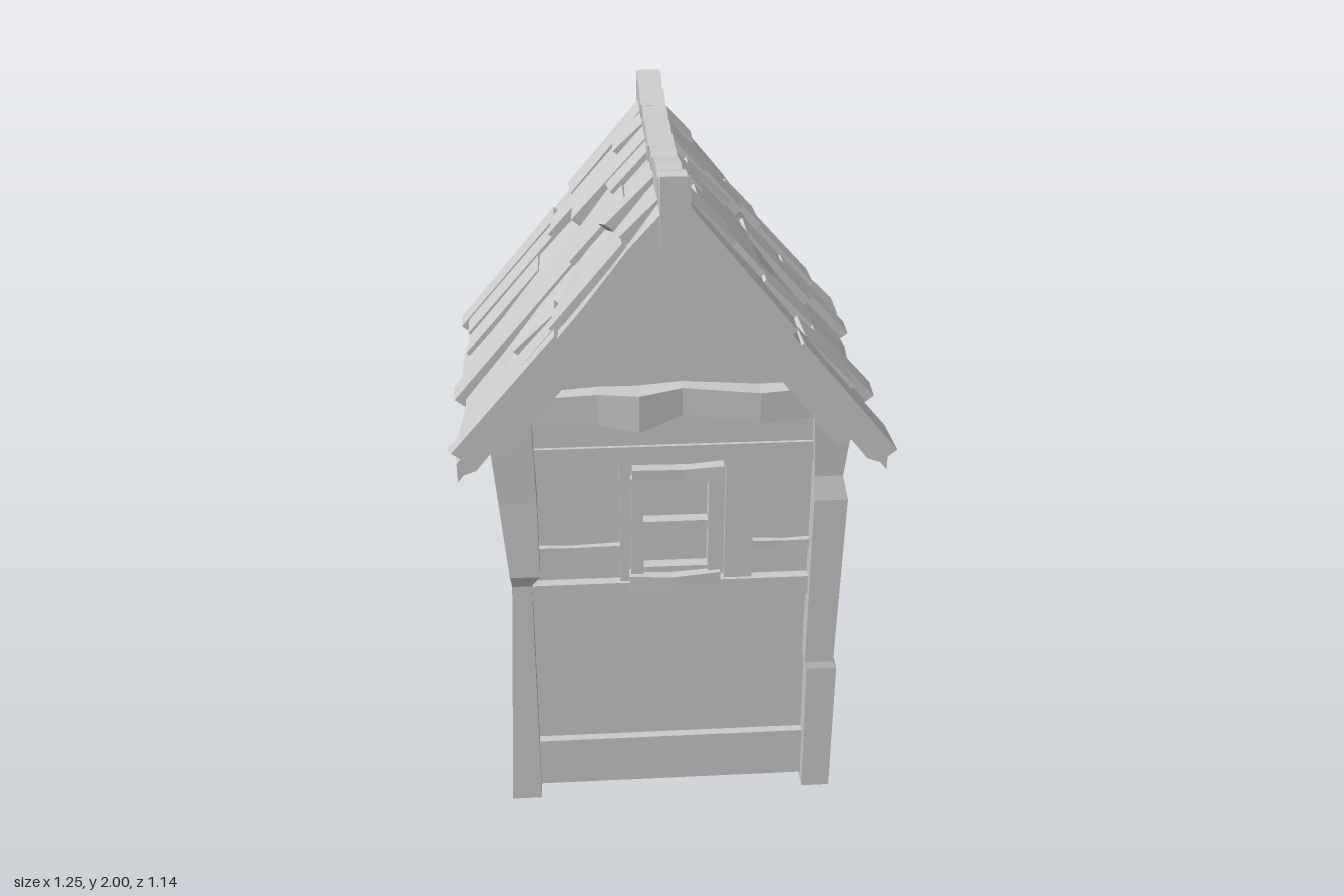
import * as THREE from 'three';

const mat = new THREE.MeshStandardMaterial({ color: 0xcccccc, flatShading: true });
const SLOPE = 1.25;

let seed = 7;
const rnd = () => { seed = (seed * 16807) % 2147483647; return seed / 2147483647 - 0.5; };

function add(parent, geo, name) {
  const m = new THREE.Mesh(geo, mat);
  m.name = name;
  parent.add(m);
  return m;
}

// Move every vertex of a geometry by a rule
function warp(geo, rule) {
  const p = geo.attributes.position, v = new THREE.Vector3();
  for (let i = 0; i < p.count; i++) {
    v.fromBufferAttribute(p, i);
    rule(v);
    p.setXYZ(i, v.x, v.y, v.z);
  }
  geo.computeVertexNormals();
  return geo;
}

// Box between limits; "bevel" lifts the lower outer edge
function slab(x0, x1, y0, y1, z0, z1, bevel = 0) {
  return warp(new THREE.BoxGeometry(1, 1, 1), v => {
    const low = v.y < 0 && v.z > 0;
    v.set(v.x < 0 ? x0 : x1, v.y < 0 ? y0 + (low ? bevel : 0) : y1, v.z < 0 ? z0 : z1);
  });
}

// Uneven timber along an axis; rows are [position, a0, a1, b0, b1]
function timber(axis, rows) {
  const n = rows.length - 1;
  const seg = ['x', 'y', 'z'].map(k => (k === axis ? n : 1));
  const [a, b] = ['x', 'y', 'z'].filter(k => k !== axis);
  return warp(new THREE.BoxGeometry(1, 1, 1, ...seg), v => {
    const r = rows[Math.round((v[axis] + 0.5) * n)];
    v[axis] = r[0];
    v[a] = v[a] < 0 ? r[1] : r[2];
    v[b] = v[b] < 0 ? r[3] : r[4];
  });
}

function makeWindow() {
  const g = new THREE.Group();
  g.name = 'window';
  add(g, slab(-0.115, -0.08, 0.79, 1.11, 0.42, 0.475), 'windowJamb');
  add(g, slab(0.105, 0.14, 0.79, 1.11, 0.42, 0.475), 'windowJamb');
  add(g, slab(-0.085, 0.11, 0.935, 0.965, 0.42, 0.465), 'windowBar');
  add(g, slab(-0.085, 0.11, 0.79, 0.815, 0.42, 0.465), 'windowBar');
  add(g, slab(-0.085, 0.11, 1.085, 1.11, 0.42, 0.465), 'windowBar');
  add(g, timber('x', [[-0.12, 0.755, 0.8, 0.42, 0.49], [0, 0.76, 0.795, 0.42, 0.495],
    [0.14, 0.752, 0.805, 0.42, 0.49]]), 'windowSill');
  add(g, timber('x', [[-0.11, 1.1, 1.145, 0.42, 0.49], [0.03, 1.105, 1.14, 0.42, 0.485],
    [0.145, 1.1, 1.15, 0.42, 0.49]]), 'windowLintel');
  return g;
}

// Boards and rails of one wall, facing +z
function makeWall(angle, gable, glazed) {
  const g = new THREE.Group();
  g.name = gable ? 'gableWall' : 'sideWall';
  g.rotation.y = angle;
  const w = 0.42;
  add(g, slab(-w, w, 0.005, 0.19, 0.4, 0.455, 0.02), 'skirting');
  add(g, slab(-w, w, 0.685, 0.76, 0.4, 0.46, 0.015), 'middleRail');
  add(g, slab(-w, w, 1.13, 1.2, 0.4, 0.455, 0.012), 'topRail');
  if (gable) {
    add(g, slab(-w, w, 1.19, 1.3, 0.4, 0.445), 'headBoard');
    add(g, timber('x', [[-0.4, 1.29, 1.36, 0.4, 0.47], [-0.2, 1.285, 1.375, 0.4, 0.48],
      [-0.09, 1.265, 1.375, 0.4, 0.5], [0.03, 1.305, 1.385, 0.4, 0.475],
      [0.24, 1.28, 1.37, 0.4, 0.49], [0.4, 1.285, 1.375, 0.4, 0.475]]), 'crookedBeam');
    add(g, slab(-0.145, -0.1, 0.75, 1.14, 0.4, 0.45), 'stud');
    add(g, slab(0.155, 0.235, 0.75, 1.14, 0.4, 0.45), 'stud');
    for (const [a, b] of [[-w, -0.14], [0.23, w]])
      add(g, timber('x', [[a, 0.855, 0.88, 0.4, 0.45], [(a + b) / 2, 0.86, 0.875, 0.4, 0.445],
        [b, 0.85, 0.88, 0.4, 0.45]]), 'thinRail');
  } else {
    for (const s of [-1, 1]) add(g, slab(s * 0.135 - 0.02, s * 0.135 + 0.02, 0.75, 1.14, 0.4, 0.452), 'stud');
  }
  if (glazed) g.add(makeWindow());
  return g;
}

// Roof surface height, sagging mid-length
const sag = z => 0.03 * (1 - Math.min(1, (z / 0.55) ** 2));
const roofY = (x, z) => 1.945 - SLOPE * x - sag(z) * (1 - x);

// One roof slope on the +x side with its loose shingles [z0, z1, xTop, xBottom]
function makeSlope(tiles, angle) {
  const g = new THREE.Group();
  g.name = 'roofSlope';
  g.rotation.y = angle;
  const nu = 5, nz = 9;
  const bump = Array.from({ length: (nu + 1) * (nz + 1) }, rnd);
  add(g, warp(new THREE.BoxGeometry(1, 1, 1, nu, 1, nz), v => {
    const i = Math.round((v.x + 0.5) * nu), k = Math.round((v.z + 0.5) * nz);
    const b = bump[i * (nz + 1) + k], top = v.y > 0;
    const x = (i / nu) * (0.585 + (i === nu ? b * 0.03 : 0));
    const z = v.z * 1.1;
    v.set(x, roofY(x, z) + (top ? b * 0.025 : -0.06), z);
  }), 'roofSheet');
  for (const [z0, z1, xa, xb] of tiles) {
    const lift = 0.026 + rnd() * 0.012, skew = rnd() * 0.02, taper = rnd() * 0.02;
    add(g, warp(new THREE.BoxGeometry(1, 1, 1), v => {
      const lower = v.x > 0, far = v.z > 0;
      const x = lower ? xb + (far ? skew : -skew) : xa;
      const z = (far ? z1 : z0) + (lower ? taper : 0) * (far ? -1 : 1);
      const h = v.y > 0 ? (lower ? lift : 0.012) : -0.025;
      v.set(x + h * 0.78, roofY(x, z) + h * 0.62, THREE.MathUtils.clamp(z, -0.55, 0.55));
    }), 'shingle');
  }
  return g;
}

// Sloping board under the roof edge, as a strip between two roof-parallel lines
function bargeBoard(side, top, bottom, xEnd, depth) {
  const s = new THREE.Shape([
    [0, bottom], [xEnd - 0.05, bottom - SLOPE * (xEnd - 0.05)],
    [xEnd, top - SLOPE * xEnd], [0, top]
  ].map(([x, y]) => new THREE.Vector2(side * x, y)));
  return new THREE.ExtrudeGeometry(s, { depth, bevelEnabled: false });
}

export function createModel() {
  const model = new THREE.Group();
  model.name = 'crookedHut';

  // Core with gable ends
  const core = new THREE.Shape([[-0.43, 0.015], [0.43, 0.015], [0.43, 1.28], [0, 1.82], [-0.43, 1.28]]
    .map(p => new THREE.Vector2(...p)));
  add(model, new THREE.ExtrudeGeometry(core, { depth: 0.86, bevelEnabled: false }).translate(0, 0, -0.43), 'wallCore');

  model.add(makeWall(0, true, true), makeWall(Math.PI, true, true),
    makeWall(Math.PI / 2, false, false), makeWall(-Math.PI / 2, false, true));

  // Crooked corner posts
  const posts = {
    frontLeftPost: [[0, 0.41, 0.495, 0.4, 0.49], [0.45, 0.405, 0.495, 0.4, 0.49], [0.47, 0.4, 0.485, 0.4, 0.485],
      [1.03, 0.4, 0.495, 0.39, 0.49], [1.1, 0.4, 0.48, 0.39, 0.475], [1.3, 0.39, 0.5, 0.38, 0.485]],
    frontRightPost: [[0, -0.49, -0.4, 0.4, 0.49], [0.77, -0.455, -0.4, 0.39, 0.475], [0.81, -0.46, -0.375, 0.385, 0.49],
      [1.05, -0.48, -0.375, 0.385, 0.485], [1.3, -0.5, -0.38, 0.38, 0.49]],
    backLeftPost: [[0, 0.4, 0.495, -0.48, -0.4], [0.26, 0.4, 0.495, -0.48, -0.4], [0.29, 0.4, 0.48, -0.475, -0.39],
      [0.8, 0.395, 0.485, -0.475, -0.38], [1.1, 0.385, 0.48, -0.48, -0.38], [1.3, 0.38, 0.5, -0.485, -0.38]],
    backRightPost: [[0, -0.49, -0.4, -0.485, -0.4], [0.5, -0.48, -0.4, -0.48, -0.4], [0.54, -0.49, -0.395, -0.485, -0.39],
      [1.05, -0.485, -0.39, -0.485, -0.385], [1.3, -0.5, -0.38, -0.485, -0.38]]
  };
  for (const [name, rows] of Object.entries(posts)) add(model, timber('y', rows), name);

  // Roof slopes
  model.add(makeSlope([
    [-0.49, -0.39, 0.03, 0.11], [-0.49, -0.39, 0.23, 0.32], [-0.5, -0.4, 0.32, 0.5],
    [-0.38, -0.26, 0.02, 0.25], [-0.37, -0.26, 0.4, 0.6], [-0.25, -0.18, 0.02, 0.13],
    [-0.25, -0.14, 0.26, 0.46], [-0.17, -0.07, 0.08, 0.19], [-0.06, 0.08, 0.02, 0.1],
    [-0.06, 0.23, 0.08, 0.25], [0.1, 0.24, 0.27, 0.4], [0.06, 0.21, 0.43, 0.6],
    [0.24, 0.42, 0.02, 0.14], [0.22, 0.42, 0.36, 0.48], [0.42, 0.55, 0.02, 0.31],
    [0.41, 0.55, 0.33, 0.59], [-0.53, -0.4, 0.5, 0.59]
  ], 0));
  model.add(makeSlope([
    [-0.5, -0.4, 0.02, 0.24], [-0.5, -0.4, 0.3, 0.6], [-0.38, -0.28, 0.02, 0.1], [-0.38, -0.27, 0.1, 0.3],
    [-0.38, -0.27, 0.3, 0.57], [-0.26, -0.14, 0.02, 0.23], [-0.26, -0.14, 0.35, 0.57],
    [-0.12, -0.02, 0.02, 0.13], [0, 0.15, 0.1, 0.25], [0.01, 0.14, 0.25, 0.6], [0.16, 0.24, 0.02, 0.15],
    [0.26, 0.37, 0.3, 0.39], [0.38, 0.47, 0.02, 0.12], [0.38, 0.47, 0.12, 0.3], [0.38, 0.48, 0.3, 0.49],
    [0.49, 0.55, 0.3, 0.58]
  ].map(([a, b, c, d]) => [-b, -a, c, d]), Math.PI));

  // Barge boards at both gables
  for (const end of [1, -1]) for (const side of [1, -1]) {
    add(model, bargeBoard(side, 1.87, 1.78, 0.5, 0.1).translate(0, 0, end > 0 ? 0.42 : -0.52), 'bargeBoard');
    add(model, bargeBoard(side, 1.895, 1.85, 0.58, 0.04).translate(0, 0, end > 0 ? 0.5 : -0.54), 'edgeBoard');
  }

  // Sagging ridge beam with rough caps
  add(model, timber('z', [[-0.57, -0.038, 0.038, 1.81, 1.985], [-0.53, -0.038, 0.038, 1.81, 1.98],
    [-0.35, -0.032, 0.032, 1.81, 1.945], [0, -0.032, 0.032, 1.8, 1.92], [0.35, -0.032, 0.032, 1.81, 1.945],
    [0.53, -0.038, 0.038, 1.81, 1.98], [0.57, -0.038, 0.038, 1.81, 2]]), 'ridgeBeam');
  const caps = [[-0.57, -0.45], [-0.43, -0.32], [-0.3, -0.19], [-0.18, -0.06], [-0.05, 0.05],
    [0.07, 0.18], [0.19, 0.35], [0.36, 0.46], [0.48, 0.57]];
  for (const [a, b] of caps) {
    const y = z => 1.937 + 0.058 * (z / 0.57) ** 2;
    const w = 0.036 + rnd() * 0.006;
    add(model, timber('z', [[a, -w, w, 1.88, y(a) - 0.012], [a + 0.02, -w, w, 1.88, y(a)],
      [b - 0.02, -w, w, 1.88, y(b) + rnd() * 0.006], [b, -w, w, 1.88, y(b) - 0.012]]), 'ridgeCap');
  }
  return model;
}
